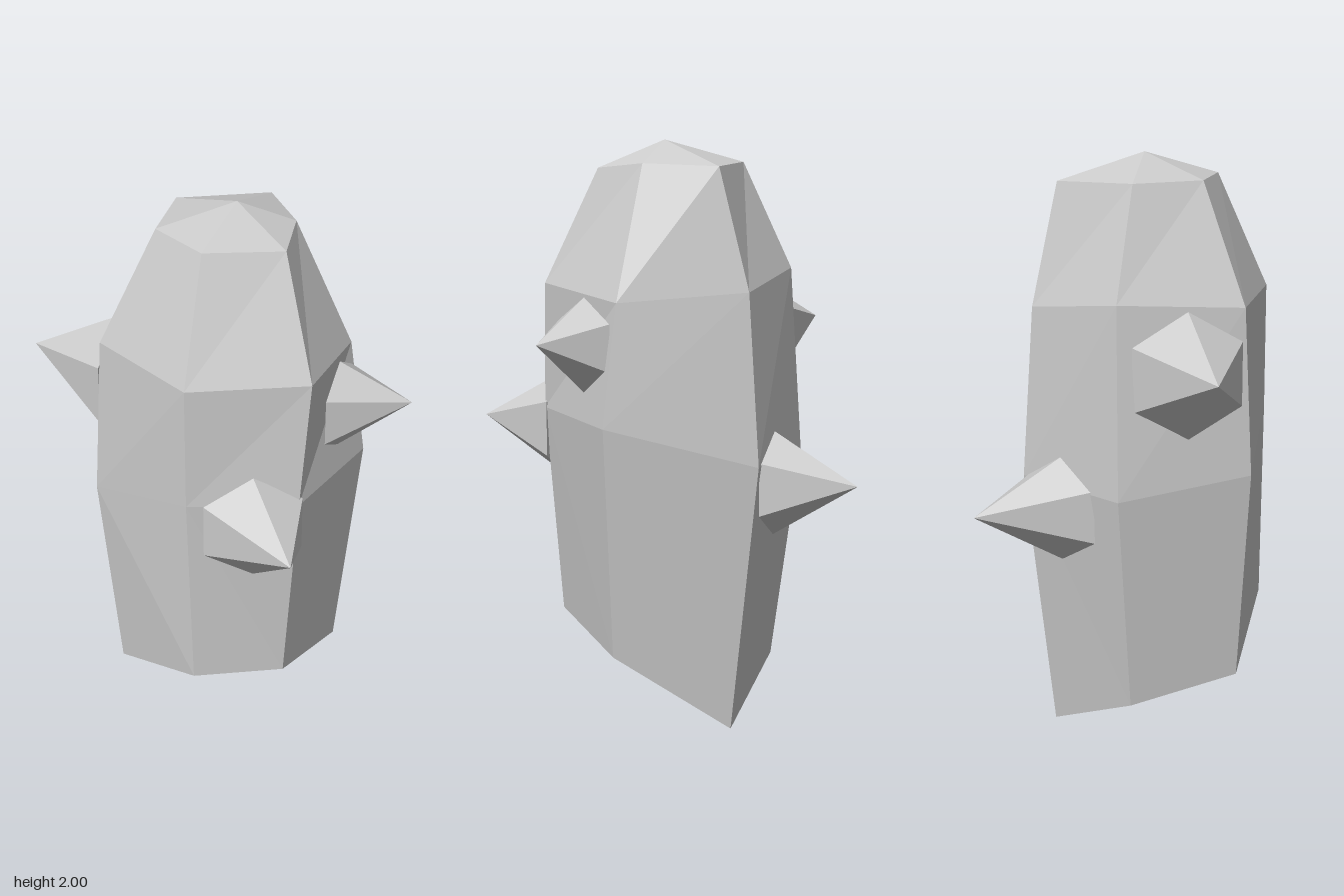
import * as THREE from 'three';

const material = new THREE.MeshStandardMaterial({ color: 0xcccccc, flatShading: true });

// Six-sided cross-sections, bottom to top, each starting at the front and running towards +x
const rings = [
  [[-0.19, 0.24, 0.375], [0.23, 0.40, 0.375], [0.36, 0.36, 0.08], [0.23, 0.27, -0.28], [-0.175, 0, -0.28], [-0.385, 0.17, 0.05]],
  [[-0.235, 0.97, 0.425], [0.215, 1.1, 0.385], [0.42, 1.08, 0.075], [0.27, 1.06, -0.355], [-0.25, 0.92, -0.36], [-0.485, 0.92, 0.035]],
  [[-0.22, 1.53, 0.395], [0.215, 1.53, 0.385], [0.42, 1.515, 0.03], [0.22, 1.47, -0.325], [-0.22, 1.5, -0.33], [-0.44, 1.56, 0.02]],
  [[-0.12, 1.925, 0.23], [0.115, 1.925, 0.23], [0.24, 1.905, -0.01], [0.11, 1.92, -0.165], [-0.13, 1.91, -0.265], [-0.27, 1.925, 0.03]],
];

function meshFrom(name, triangles) {
  const geometry = new THREE.BufferGeometry();
  geometry.setAttribute('position', new THREE.Float32BufferAttribute(triangles.flat(2), 3));
  geometry.computeVertexNormals();
  const mesh = new THREE.Mesh(geometry, material);
  mesh.name = name;
  return mesh;
}

// Faceted trunk with a pointed top and a slanted base
function createBody() {
  const apex = [0.01, 2, 0], base = [0, 0.24, 0.03];
  const triangles = [];
  for (let j = 0; j < 6; j++) {
    const k = (j + 1) % 6;
    for (let i = 0; i < 3; i++) {
      const a = rings[i][j], b = rings[i][k], c = rings[i + 1][k], d = rings[i + 1][j];
      if (i === 0) triangles.push([a, b, d], [b, c, d]);
      else triangles.push([a, b, c], [a, c, d]);
    }
    triangles.push([rings[3][j], rings[3][k], apex], [rings[0][k], rings[0][j], base]);
  }
  return meshFrom('body', triangles);
}

// Six-sided spike: upright hexagon base facing along the wall normal, with a free tip
function createSpike(name, center, tip, radius) {
  const nx = Math.sign(center[0]) * 0.87, nz = Math.sign(center[2]) * 0.5;
  const corners = [];
  for (let i = 0; i < 6; i++) {
    const angle = i * Math.PI / 3;
    const across = Math.sin(angle) * radius;
    corners.push([center[0] + nz * across, center[1] + Math.cos(angle) * radius, center[2] - nx * across]);
  }
  const triangles = [];
  corners.forEach((p, i) => {
    const q = corners[(i + 1) % 6];
    triangles.push([q, p, tip], [p, q, center]);
  });
  return meshFrom(name, triangles);
}

export function createModel() {
  const group = new THREE.Group();
  group.name = 'spikedTrunk';
  group.add(
    createBody(),
    createSpike('frontRightSpike', [-0.335, 1.315, 0.23], [-0.62, 1.36, 0.39], 0.215),
    createSpike('frontLeftSpike', [0.335, 1.005, 0.2], [0.615, 1.03, 0.28], 0.19),
    createSpike('backLeftSpike', [0.31, 1.32, -0.19], [0.485, 1.34, -0.36], 0.16),
    createSpike('backRightSpike', [-0.335, 0.84, -0.2], [-0.57, 0.86, -0.43], 0.18),
  );
  return group;
}
